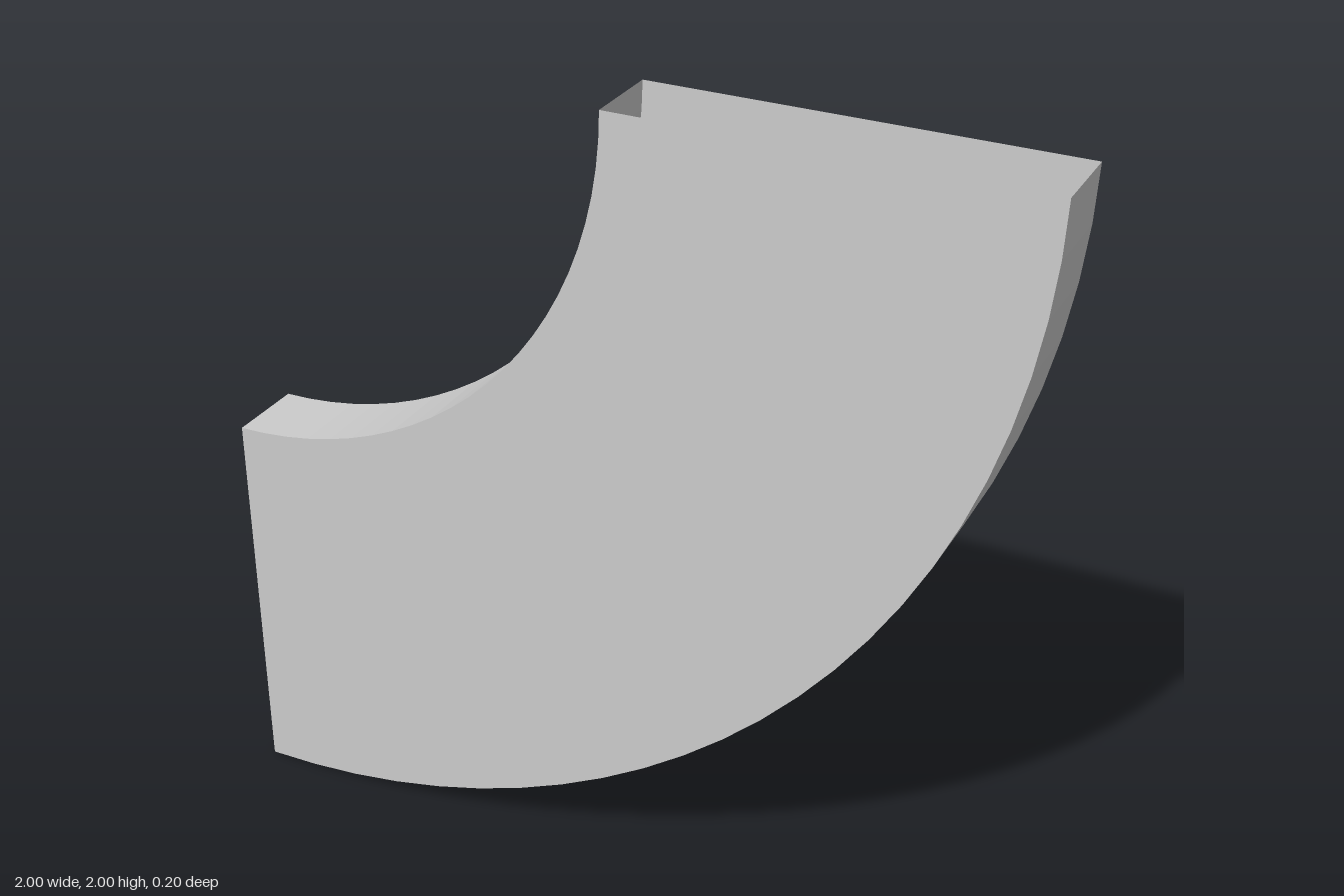
import * as THREE from 'three';

const INNER = 1, OUTER = 2, DEPTH = 0.2, SEGMENTS = 24;
const QUARTER = Math.PI / 2;

export function createModel() {
  const group = new THREE.Group();
  group.name = 'ductElbow';
  const material = new THREE.MeshStandardMaterial({
    color: 0xcccccc, flatShading: true, side: THREE.DoubleSide,
  });

  // Every wall is centred on the bend's axis at the upper left
  const add = (name, geometry) => {
    const flat = geometry.toNonIndexed();
    flat.computeVertexNormals();
    const mesh = new THREE.Mesh(flat, material);
    mesh.name = name;
    mesh.position.set(-1, 2, 0);
    group.add(mesh);
  };

  // Curved walls; a negative sweep turns the inner one towards the axis
  const curvedWall = (radius, start, sweep) =>
    new THREE.CylinderGeometry(radius, radius, DEPTH, SEGMENTS, 1, true, start, sweep)
      .rotateX(Math.PI / 2);
  add('outerWall', curvedWall(OUTER, 0, QUARTER));
  add('innerWall', curvedWall(INNER, QUARTER, -QUARTER));

  // Flat side walls; both ends of the duct stay open
  const sideWall = (start) =>
    new THREE.RingGeometry(INNER, OUTER, SEGMENTS, 1, start, QUARTER).translate(0, 0, DEPTH / 2);
  add('frontWall', sideWall(3 * QUARTER));
  add('backWall', sideWall(2 * QUARTER).rotateY(Math.PI));

  return group;
}
